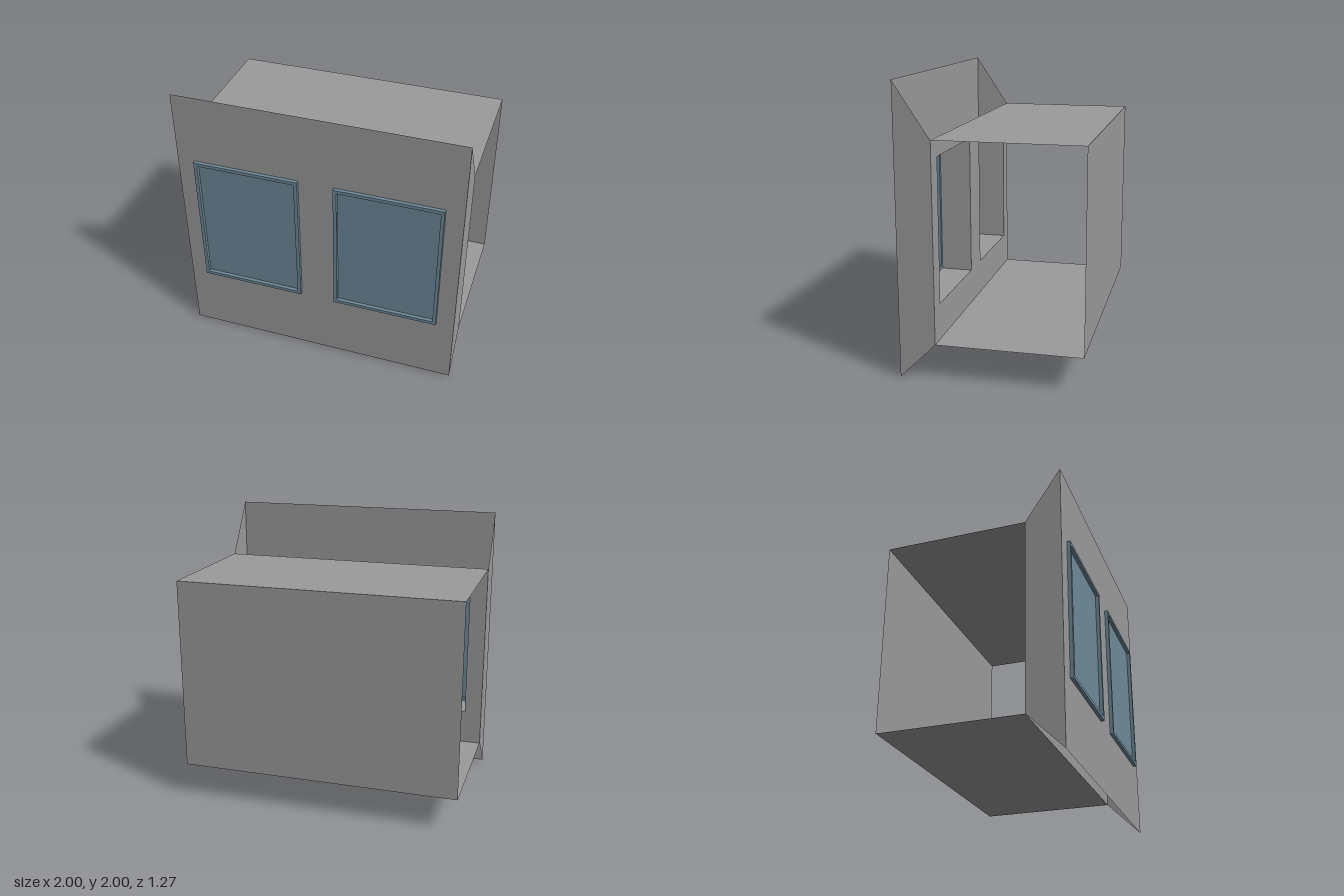
import * as THREE from 'three';

const FRONT = 0.6125, INNER = 0.3625, BACK = -0.6375; // z of the wall faces and the rear wall
const FLOOR = 0.25, CEILING = 1.625;
const WIN = { w: 0.75, h: 1, x: 0.5, y: 1, frame: 0.025 };

const grey = new THREE.MeshStandardMaterial({ color: 0x9b9b9b, side: THREE.DoubleSide });
const blue = new THREE.MeshStandardMaterial({ color: 0x6f8a99, side: THREE.DoubleSide });

// Rectangle outline centred on (x, y)
function rect(Type, x, y, w, h) {
  return new Type([[-1, -1], [1, -1], [1, 1], [-1, 1]].map(
    ([i, j]) => new THREE.Vector2(x + i * w / 2, y + j * h / 2)));
}

function add(parent, name, geometry, material, x = 0, y = 0, z = 0) {
  const mesh = new THREE.Mesh(geometry, material);
  mesh.name = name;
  mesh.position.set(x, y, z);
  parent.add(mesh);
}

// Thin upright wall pierced by the two window openings
function wallGeometry(bottom, top) {
  const shape = rect(THREE.Shape, 0, (bottom + top) / 2, 2, top - bottom);
  for (const s of [-1, 1]) shape.holes.push(rect(THREE.Path, s * WIN.x, WIN.y, WIN.w, WIN.h));
  return new THREE.ShapeGeometry(shape);
}

// Window: reveal through the wall, frame and recessed pane
function createWindow(side) {
  const group = new THREE.Group();
  group.name = side > 0 ? 'leftWindow' : 'rightWindow';
  group.position.set(side * WIN.x, WIN.y, FRONT);

  const depth = FRONT - INNER;
  for (const s of [-1, 1]) {
    add(group, s > 0 ? 'revealTop' : 'revealSill',
      new THREE.PlaneGeometry(WIN.w, depth).rotateX(-Math.PI / 2), grey, 0, s * WIN.h / 2, -depth / 2);
    add(group, 'revealSide',
      new THREE.PlaneGeometry(depth, WIN.h).rotateY(Math.PI / 2), grey, s * WIN.w / 2, 0, -depth / 2);
  }

  const paneW = WIN.w - 2 * WIN.frame, paneH = WIN.h - 2 * WIN.frame;
  const outline = rect(THREE.Shape, 0, 0, WIN.w - 0.001, WIN.h - 0.001);
  outline.holes.push(rect(THREE.Path, 0, 0, paneW, paneH));
  add(group, 'windowFrame',
    new THREE.ExtrudeGeometry(outline, { depth: 0.05, bevelEnabled: false }), blue, 0, 0, -0.025);
  add(group, 'windowPane', new THREE.PlaneGeometry(paneW, paneH), blue);
  return group;
}

export function createModel() {
  const model = new THREE.Group();
  model.name = 'windowWallSection';

  // Outer and inner skins of the window wall
  add(model, 'outerWall', wallGeometry(0, 2), grey, 0, 0, FRONT);
  add(model, 'innerWall', wallGeometry(FLOOR, CEILING), grey, 0, 0, INNER);

  // Tapered end caps of the wall; shape x runs along -z after the turn
  const cap = new THREE.ShapeGeometry(new THREE.Shape([
    new THREE.Vector2(-FRONT, 0), new THREE.Vector2(-INNER, FLOOR),
    new THREE.Vector2(-INNER, CEILING), new THREE.Vector2(-FRONT, 2),
  ])).rotateY(Math.PI / 2);
  for (const s of [-1, 1]) add(model, s > 0 ? 'leftEndCap' : 'rightEndCap', cap, grey, s);

  // Room behind the wall, open at both ends
  const slab = new THREE.PlaneGeometry(2, INNER - BACK).rotateX(-Math.PI / 2);
  const midZ = (INNER + BACK) / 2;
  add(model, 'floor', slab, grey, 0, FLOOR, midZ);
  add(model, 'ceiling', slab, grey, 0, CEILING, midZ);
  add(model, 'rearWall', new THREE.PlaneGeometry(2, CEILING - FLOOR).rotateY(Math.PI), grey,
    0, (FLOOR + CEILING) / 2, BACK);

  for (const s of [-1, 1]) model.add(createWindow(s));
  return model;
}
